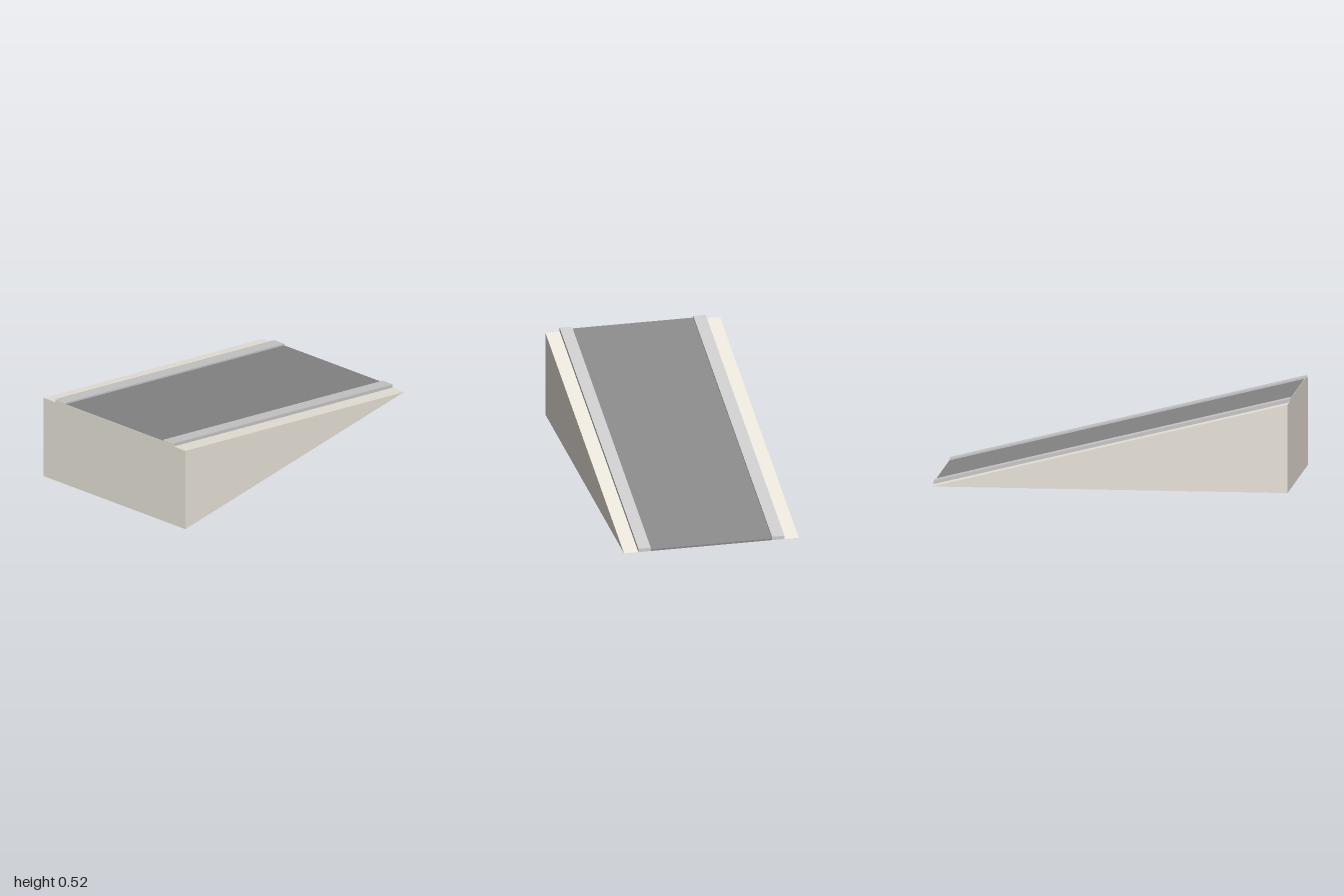
import * as THREE from 'three';

const HEIGHT = 0.5, HALF_W = 0.5, LOW = -1, HIGH = 1, CAP = 0.002;
const ROAD_X = 0.347, CURB_X = 0.418, ROAD_H = 0.01, CURB_H = 0.02;
const slopeY = (z) => HEIGHT * (z - LOW) / (HIGH - LOW);

// Extrudes a side outline of [z, y] points across x from x0 to x1
function sideExtrude(points, x0, x1) {
  const shape = new THREE.Shape(points.map(([z, y]) => new THREE.Vector2(-z, y)));
  const geo = new THREE.ExtrudeGeometry(shape, { depth: x1 - x0, bevelEnabled: false });
  geo.rotateY(Math.PI / 2);
  return geo.translate(x0, 0, 0);
}

// Strip of constant thickness lying on the slope
function slopeStrip(x0, x1, thickness) {
  const end = HIGH - CAP;
  return sideExtrude([
    [LOW, 0], [end, slopeY(end)], [end, slopeY(end) + thickness], [LOW, thickness],
  ], x0, x1);
}

export function createModel() {
  const group = new THREE.Group();
  const stone = new THREE.MeshStandardMaterial({ color: 0xece7dc });
  const curbGrey = new THREE.MeshStandardMaterial({ color: 0xbfbfbf });
  const roadGrey = new THREE.MeshStandardMaterial({ color: 0x888888 });

  const add = (name, geometry, material) => {
    const mesh = new THREE.Mesh(geometry, material);
    mesh.name = name;
    group.add(mesh);
  };

  // Solid wedge under the road
  const end = HIGH - CAP;
  add('wedge', sideExtrude([[LOW, 0], [end, 0], [end, slopeY(end)]], -HALF_W, HALF_W), stone);

  // Front wall, stepped along the top to cover the ends of the road and curbs
  const half = [
    [HALF_W, 0], [HALF_W, HEIGHT], [CURB_X, HEIGHT], [CURB_X, HEIGHT + CURB_H],
    [ROAD_X, HEIGHT + CURB_H], [ROAD_X, HEIGHT + ROAD_H],
  ];
  const outline = [...half, ...half.map(([x, y]) => [-x, y]).reverse()];
  const wall = new THREE.ExtrudeGeometry(
    new THREE.Shape(outline.map(([x, y]) => new THREE.Vector2(x, y))),
    { depth: CAP, bevelEnabled: false });
  add('frontWall', wall.translate(0, 0, end), stone);

  // Road surface and the raised curbs beside it
  add('road', slopeStrip(-ROAD_X, ROAD_X, ROAD_H), roadGrey);
  add('leftCurb', slopeStrip(ROAD_X, CURB_X, CURB_H), curbGrey);
  add('rightCurb', slopeStrip(-CURB_X, -ROAD_X, CURB_H), curbGrey);

  return group;
}
